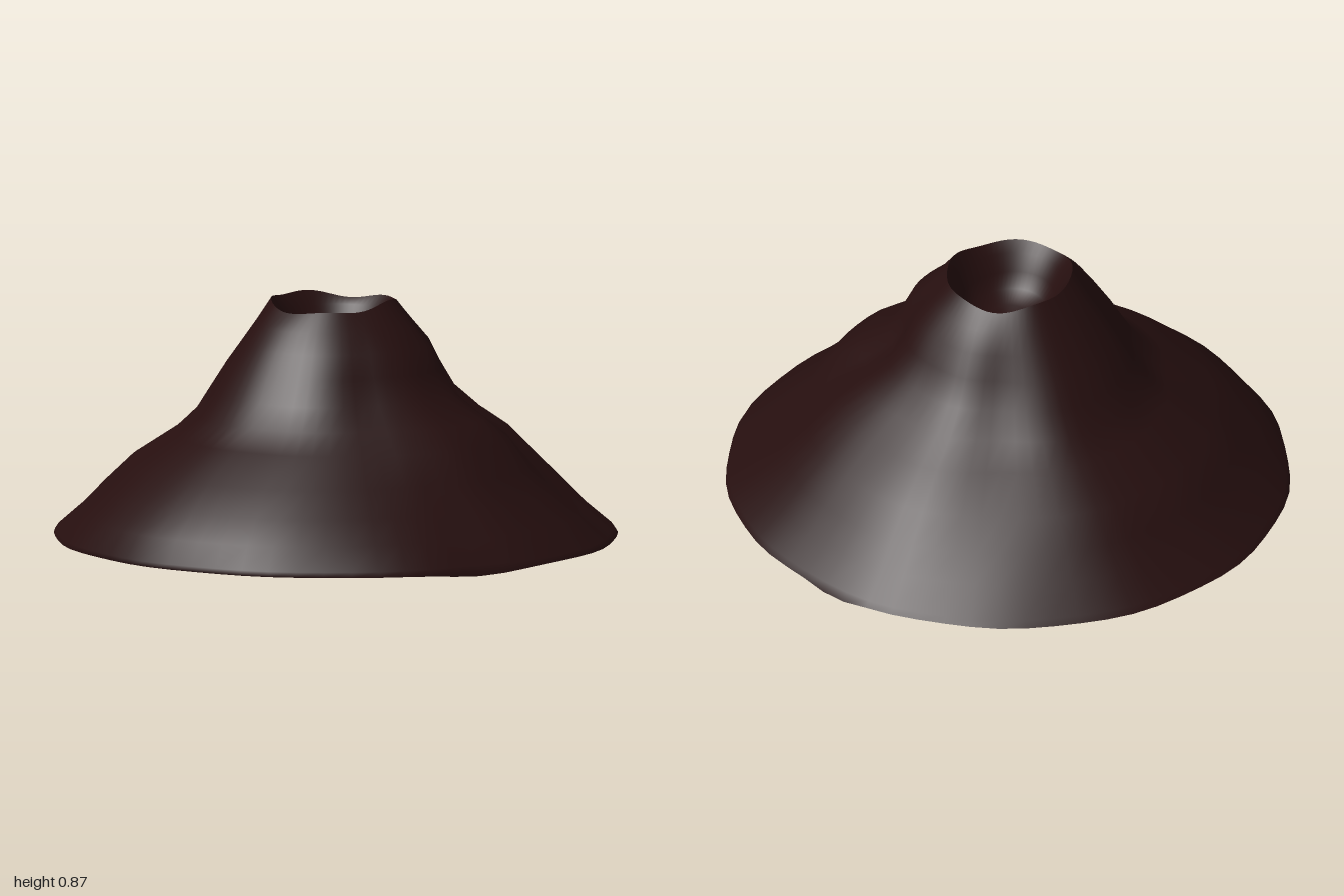
import * as THREE from 'three';

const SEG = 64;

// Heights of the slope rings, and the slope radius there towards +x, +z, -x and -z
const HEIGHTS = [0.02, 0.04, 0.12, 0.2, 0.29, 0.39, 0.46, 0.54, 0.63, 0.71, 0.78, 0.85];
const SIDES = [
  [0.985, 0.97, 0.88, 0.81, 0.72, 0.6, 0.49, 0.41, 0.355, 0.31, 0.26, 0.21],
  [0.99, 0.98, 0.89, 0.81, 0.72, 0.65, 0.56, 0.45, 0.395, 0.355, 0.28, 0.21],
  [0.99, 1.0, 0.95, 0.86, 0.76, 0.6, 0.51, 0.46, 0.41, 0.36, 0.31, 0.25],
  [1.0, 0.98, 0.88, 0.81, 0.72, 0.57, 0.5, 0.45, 0.39, 0.33, 0.28, 0.22],
];
// Crater rings as [radius relative to the rim, height]
const CRATER = [[0.86, 0.81], [0.74, 0.75], [0.6, 0.7], [0.35, 0.67], [0, 0.66]];

const bump = (a, centre, width) => {
  const d = Math.atan2(Math.sin(a - centre), Math.cos(a - centre)) / width;
  return Math.exp(-d * d);
};

// Blend the four side profiles around the cone, then cut shallow gullies
function slopeRadius(i, a) {
  const q = (a / (Math.PI / 2)) % 4;
  const k = Math.floor(q);
  const f = (1 - Math.cos((q - k) * Math.PI)) / 2;
  const r = SIDES[k][i] * (1 - f) + SIDES[(k + 1) % 4][i] * f;
  const y = HEIGHTS[i];
  const mid = Math.max(0, Math.sin(Math.PI * Math.min(1, y / 0.85)));
  const gullies = 0.045 * bump(a, 1.0, 0.2) + 0.03 * bump(a, 2.25, 0.22)
    + 0.035 * bump(a, 5.7, 0.25) + 0.02 * bump(a, 4.0, 0.2);
  const edge = 0.02 * bump(a, 1.96, 0.12) + 0.012 * bump(a, 0.3, 0.15) + 0.004 * Math.sin(a * 13);
  return r - mid * gullies - edge * (1 - y / 0.85);
}

function ringPoint(i, a) {
  const r = slopeRadius(i, a);
  let y = HEIGHTS[i];
  if (i === 0) y -= 0.018 * (bump(a, 1.96, 0.16) + bump(a, 0.05, 0.08));
  if (i === HEIGHTS.length - 1) {
    y += 0.013 * Math.cos(2 * (a - 1.3)) + 0.007 * Math.sin(5 * a + 0.6);
  }
  return [r * Math.cos(a), y, r * Math.sin(a)];
}

// Join closed rings of points into one smooth surface
function loft(rings) {
  const index = [];
  for (let i = 0; i < rings.length - 1; i++) {
    for (let j = 0; j < SEG; j++) {
      const n = (j + 1) % SEG;
      const a = i * SEG + j, b = i * SEG + n;
      const c = a + SEG, d = b + SEG;
      index.push(a, c, b, b, c, d);
    }
  }
  const g = new THREE.BufferGeometry();
  g.setAttribute('position', new THREE.Float32BufferAttribute(rings.flat(2), 3));
  g.setIndex(index);
  g.computeVertexNormals();
  return g;
}

const makeRing = (fn) => Array.from({ length: SEG }, (_, j) => fn((j / SEG) * Math.PI * 2));

export function createModel() {
  const group = new THREE.Group();
  group.name = 'volcano';
  const rock = new THREE.MeshStandardMaterial({ color: 0x260f0f });
  rock.name = 'dark rock';

  const add = (name, geometry) => {
    const mesh = new THREE.Mesh(geometry, rock);
    mesh.name = name;
    group.add(mesh);
  };

  // Outer slopes from the foot up to the rim
  const slopes = HEIGHTS.map((_, i) => makeRing((a) => ringPoint(i, a)));
  add('slopes', loft(slopes));

  // Crater bowl sinking from the rim
  const rim = slopes[slopes.length - 1];
  const bowl = CRATER.map(([s, y]) => rim.map((p) => [p[0] * s, y, p[2] * s]));
  add('crater', loft([rim, ...bowl]));

  // Flat underside
  const foot = slopes[0];
  add('underside', loft([foot.map(() => [0, 0.02, 0]), foot]));

  return group;
}
